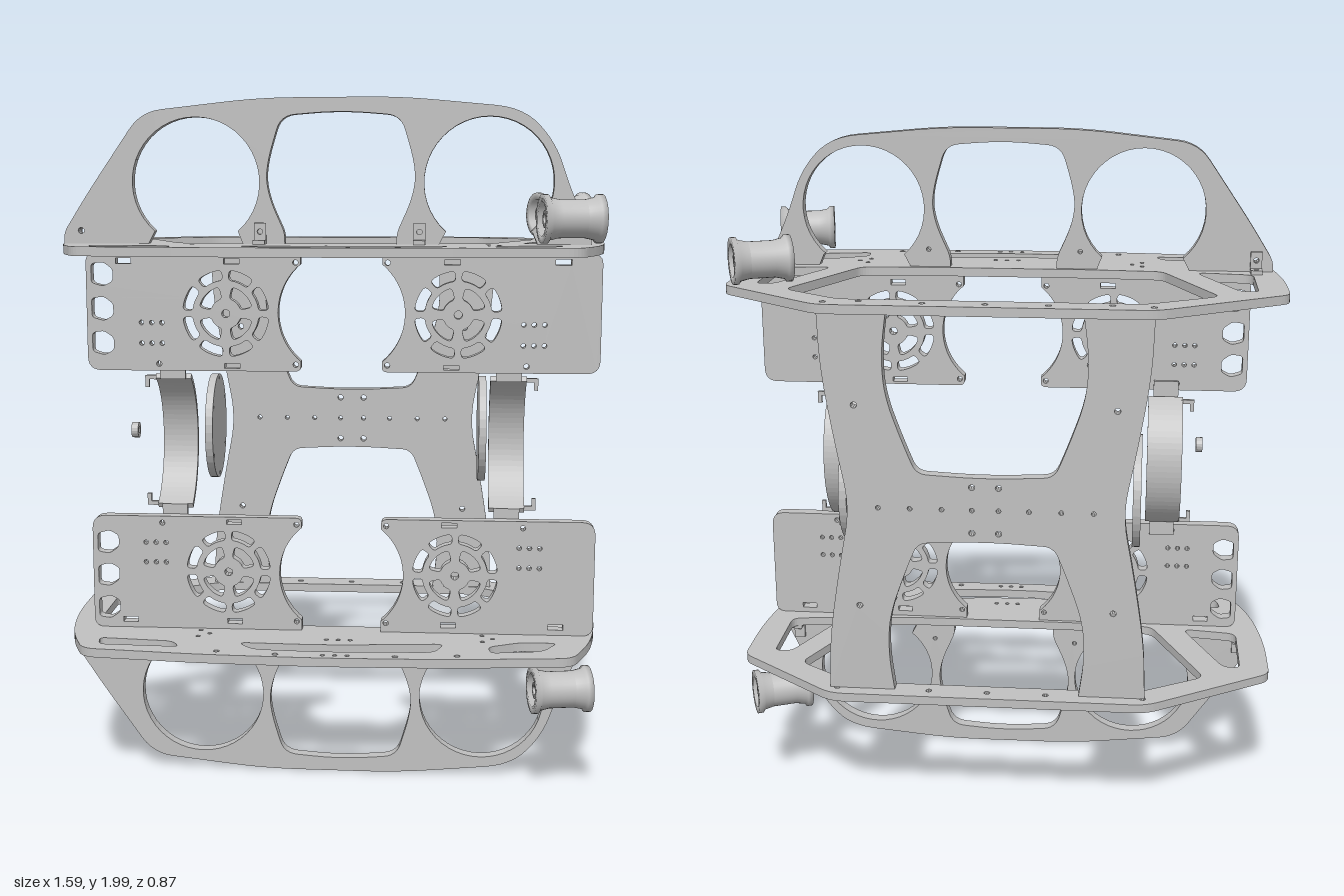
import * as THREE from 'three';

const metal = new THREE.MeshStandardMaterial({ color: 0xc0c0c0 });
metal.name = 'grey metal';

const AXIS = 0.0325;   // centre line of the front panels
const MIRROR = 2.005;  // lower y = MIRROR - upper y
const flipY = ([x, y, r]) => [x, MIRROR - y, r];
const flipX = ([x, y, r]) => [2 * AXIS - x, y, r];
const same = p => p;

// Points on an arc, angles in degrees
function arc(cx, cy, r, a0, a1, n = 24) {
  return Array.from({ length: n + 1 }, (_, i) => {
    const a = THREE.MathUtils.degToRad(a0 + (a1 - a0) * i / n);
    return [cx + r * Math.cos(a), cy + r * Math.sin(a)];
  });
}
const disc = (x, y, r = 0.009, n = 10) => arc(x, y, r, 0, 360 * (n - 1) / n, n - 1);
const sector = (x, y, r1, r2, a0, a1, n) => [...arc(x, y, r2, a0, a1, n), ...arc(x, y, r1, a1, a0, n)];
const slot = (...a) => sector(...a, 3).map(([x, y]) => [x, y, 0.012]);
const rect = (x, y, w, h) => [[x - w / 2, y - h / 2], [x + w / 2, y - h / 2], [x + w / 2, y + h / 2], [x - w / 2, y + h / 2]];

// Draws a polygon of [x, y, cornerRadius]
function trace(path, pts) {
  pts.forEach(([x, y, r = 0], i) => {
    const c = new THREE.Vector2(x, y);
    const toward = p => {
      const d = new THREE.Vector2(p[0], p[1]).sub(c);
      return d.setLength(Math.min(r, d.length() * 0.49)).add(c);
    };
    const a = r ? toward(pts.at(i - 1)) : c;
    if (i) path.lineTo(a.x, a.y); else path.moveTo(a.x, a.y);
    if (r) {
      const b = toward(pts[(i + 1) % pts.length]);
      path.quadraticCurveTo(x, y, b.x, b.y);
    }
  });
  path.closePath();
  return path;
}

// Outlines run anticlockwise and holes clockwise, so every wall faces out
function wind(pts, sign) {
  const area = THREE.ShapeUtils.area(pts.map(([x, y]) => ({ x, y })));
  return area * sign < 0 ? pts.reverse() : pts;
}

function slab(outline, holes, depth, map = same) {
  const shape = trace(new THREE.Shape(), wind(outline.map(map), 1));
  shape.holes = holes.map(h => trace(new THREE.Path(), wind(h.map(map), -1)));
  return new THREE.ExtrudeGeometry(shape, { depth, bevelEnabled: false, curveSegments: 6 });
}

export function createModel() {
  const model = new THREE.Group();
  const add = (name, geometry, x = 0, y = 0, z = 0) => {
    const mesh = new THREE.Mesh(geometry, metal);
    mesh.name = name;
    mesh.position.set(x, y, z);
    model.add(mesh);
    return mesh;
  };
  const box = (name, w, h, d, x, y, z) => add(name, new THREE.BoxGeometry(w, h, d), x, y, z);

  // Horizontal decks, drawn as [x, z]
  const deckOutline = [
    [-0.43, -0.44, 0.04], [0.485, -0.44, 0.04], [0.795, -0.2, 0.03], [0.795, 0.02, 0.1], [0.765, 0.23, 0.1],
    [0.7, 0.39, 0.04], [0.35, 0.425, 0.1], [0, 0.436, 0.1], [-0.35, 0.425, 0.1], [-0.7, 0.39, 0.04],
    [-0.765, 0.23, 0.1], [-0.795, 0.02, 0.1], [-0.795, -0.2, 0.03]];
  const sideHole = [[-0.71, -0.165, 0.02], [-0.66, -0.165, 0.03], [-0.545, 0.1, 0.03], [-0.6, 0.095, 0.03], [-0.71, 0.08, 0.03]];
  const deckHoles = [
    [[-0.4, -0.36, 0.03], [0.44, -0.36, 0.03], [0.61, -0.24, 0.03], [0.455, 0.11, 0.03],
      [0.25, 0.122, 0.05], [-0.25, 0.122, 0.05], [-0.445, 0.11, 0.03], [-0.6, -0.24, 0.03]],
    sideHole, sideHole.map(([x, z, r]) => [-x, z, r]),
    [[-0.26, 0.305, 0.03], [0, 0.313, 0.1], [0.34, 0.28, 0.03], [0.31, 0.36, 0.03], [0, 0.378, 0.1], [-0.21, 0.365, 0.03]],
    [[-0.67, 0.285, 0.02], [-0.45, 0.305, 0.03], [-0.425, 0.355, 0.02], [-0.66, 0.345, 0.02]],
    [[0.465, 0.3, 0.02], [0.56, 0.25, 0.03], [0.665, 0.25, 0.02], [0.62, 0.33, 0.03], [0.47, 0.355, 0.02]],
    ...[-0.42, -0.14, 0.03, 0.2, 0.47].map(x => disc(x, -0.4)),
    ...[-0.31, 0.375].flatMap(x => [disc(x, -0.385), disc(x, 0.39)]),
    ...[-0.005, 0.03, 0.065].flatMap(x => [disc(x, 0.26, 0.007), disc(x, 0.408, 0.007)]),
    ...[-0.14, 0.2].map(x => disc(x, 0.408)),
    ...[-0.385, 0.45].flatMap(x => [disc(x, 0.19, 0.007), disc(x, 0.25, 0.007), disc(x + 0.03, 0.22, 0.007)])];
  for (const [name, y] of [['upperDeck', 1.562], ['lowerDeck', 0.417]]) {
    add(name, slab(deckOutline, deckHoles, 0.026, ([x, z, r]) => [x, -z, r]).rotateX(-Math.PI / 2), 0, y);
  }

  // Outer guard with three arches
  const guard = [
    [-0.77, 1.586], [-0.77, 1.62, 0.02], [-0.7, 1.73, 0.06], [-0.54, 1.96, 0.06], [-0.2, 1.998, 0.1],
    [0.2, 2, 0.1], [0.545, 1.968, 0.08], [0.635, 1.87, 0.06], [0.68, 1.74, 0.06], [0.74, 1.61, 0.01], [0.74, 1.586],
    [0.59, 1.586], [0.575, 1.62], ...arc(0.45, 1.762, 0.183, -49, 229, 36), [0.31, 1.586],
    [0.19, 1.586], [0.19, 1.62, 0.02], [0.235, 1.72, 0.05], [0.245, 1.8, 0.08], [0.2, 1.948, 0.04], [0.03, 1.962, 0.1],
    [-0.14, 1.948, 0.04], [-0.185, 1.8, 0.08], [-0.175, 1.72, 0.05], [-0.13, 1.62, 0.02], [-0.13, 1.586],
    [-0.25, 1.586], ...arc(-0.385, 1.762, 0.183, -49, 229, 36), [-0.525, 1.586]];
  const guardHoles = [disc(-0.72, 1.625), disc(-0.2, 1.64, 0.007), disc(0.255, 1.64, 0.007)];

  // Front panels with vent grilles
  const panel = [[-0.71, 1.22, 0.04], [-0.71, 1.562, 0.03], [-0.085, 1.562], ...arc(AXIS, 1.39, 0.183, 130, 230), [-0.085, 1.22, 0.02]];
  const vent = [-0.303, 1.387];
  const panelHoles = [
    disc(...vent, 0.012),
    ...[0, 1, 2, 3, 4, 5, 6, 7].map(i => slot(...vent, 0.097, 0.126, i * 45 + 5, i * 45 + 40)),
    ...[0, 1, 2, 3].map(i => slot(...vent, 0.045, 0.08, i * 90 + 14, i * 90 + 76)),
    ...[-0.6, -0.285].map(x => rect(x, 1.538, 0.045, 0.016)),
    rect(-0.285, 1.235, 0.045, 0.014),
    ...[-0.55, -0.52, -0.49].flatMap(x => [disc(x, 1.3, 0.007), disc(x, 1.36, 0.007)]),
    disc(-0.5, 1.24, 0.008), disc(-0.1, 1.24, 0.008), disc(-0.1, 1.535, 0.008)];
  const endHoles = [1.5, 1.4, 1.3].map(y =>
    [[-0.695, y - 0.025, 0.01], [-0.66, y - 0.035, 0.01], [-0.632, y - 0.02, 0.01], [-0.632, y + 0.015, 0.01], [-0.66, y + 0.035, 0.01], [-0.695, y + 0.03, 0.01]]);

  // Hollow spool with flared ends, profile running up the outside
  const spoolHalf = [[0.052, 0.035], [0.058, 0.062], [0.066, 0.068], [0.066, 0.083], [0.046, 0.083], [0.043, 0.055], [0.024, 0.055], [0.024, 0.075], [0.012, 0.075]];
  const spoolRing = [...spoolHalf, ...spoolHalf.map(([r, y]) => [r, -y]).reverse(), spoolHalf[0]];
  const spool = new THREE.LatheGeometry(spoolRing.map(p => new THREE.Vector2(...p)), 32);

  for (const [level, map] of [['upper', same], ['lower', flipY]]) {
    const Y = y => map([0, y])[1];
    add(level + 'Guard', slab(guard, guardHoles, 0.036, map), 0, 0, 0.135);
    add(level + 'RightPanel', slab(panel, [...panelHoles, ...endHoles], 0.036, map), 0, 0, 0.135);
    add(level + 'LeftPanel', slab(panel, panelHoles, 0.036, p => map(flipX(p))), 0, 0, 0.135);

    // Angle brackets at the foot of the guard
    for (const [x, z, d] of [[-0.2, 0.171, 1], [0.255, 0.171, 1], [-0.72, 0.135, -1], [0.7, 0.135, -1]]) {
      const foot = slab(rect(0, 0, 0.034, 0.05), [disc(0, -d * 0.008, 0.008)], 0.012).rotateX(-Math.PI / 2);
      add(level + 'BracketFoot', foot, x, Y(1.594) - 0.006, z + d * 0.025);
      add(level + 'BracketUpright', slab(rect(0, 0, 0.034, 0.06), [disc(0, 0.005, 0.008)], 0.01), x, Y(1.618), z + d * 0.006 - 0.005);
    }

    for (const [x, z, turn] of [[0.68, -0.215, 0.42], [0.668, 0.355, 0.18]]) {
      add(level + 'Spool', spool, x, Y(1.665), z).rotation.set(0, turn, -Math.PI / 2, 'YXZ');
    }
  }

  // X-shaped back plate: one quarter edge mirrored round
  const outer = [[-0.425, 1.562], [-0.42, 1.4, 0.1], [-0.385, 1.18, 0.1], [-0.35, 1.0025, 0.08]];
  const inner = [[0.03, 1.095, 0.1], [-0.16, 1.105, 0.03], [-0.195, 1.19, 0.06], [-0.245, 1.33, 0.1], [-0.25, 1.45, 0.1], [-0.235, 1.562]];
  const topHalf = [...outer.slice().reverse(), ...inner.slice().reverse(), ...inner.slice(1).map(flipX), ...outer.map(flipX)];
  const backPlate = [...topHalf, ...topHalf.slice(1, -1).map(flipY).reverse()];
  const backHoles = [
    ...[-0.27, -0.18, -0.09, 0.155, 0.245, 0.335].map(x => disc(x, 1.0025, 0.007)),
    ...[-0.005, 0.07].flatMap(x => [disc(x, 1.07), disc(x, 1.0025, 0.007), disc(x, 0.935)]),
    ...[-0.33, 0.395].flatMap(x => [disc(x, 1.3), disc(x, 0.705)])];
  add('backPlate', slab(backPlate, backHoles, 0.036), 0, 0, -0.4);

  // Pair of upright discs
  const discHoles = arc(0, 0, 0.143, 30, 330, 5).map(([x, y]) => disc(x, y * 1.06, 0.006));
  const plate = arc(0, 0, 0.155, 0, 351, 39).map(([x, y]) => [x, y * 1.06]);
  for (const x of [-0.4, 0.437]) {
    add('sideDisc', slab(plate, discHoles, 0.023).rotateY(Math.PI / 2), x, 1.0025, -0.185);
  }

  // Curved straps with end tabs and hooks
  for (const [x, out] of [[-0.52, -1], [0.465, 1]]) {
    add('strap', slab(sector(-0.222, 0, 0.214, 0.229, -62, 62, 28), [], 0.105).rotateY(Math.PI / 2), x, 1.0025, 0);
    const mid = x + 0.0525;
    for (const s of [-1, 1]) {
      box('strapTab', 0.075, 0.06, 0.012, mid, 1.0025 + s * 0.218, 0.126);
      box('strapHookArm', 0.035, 0.012, 0.012, mid + out * 0.065, 1.0025 + s * 0.19, 0.107);
      box('strapHook', 0.012, 0.035, 0.012, mid + out * 0.08, 1.0025 + s * 0.178, 0.107);
    }
  }

  // Small loose nut
  add('nut', slab(disc(0, 0, 0.023, 16), [disc(0, 0, 0.01)], 0.02).rotateY(Math.PI / 2), -0.585, 1.042, 0.157);
  return model;
}
